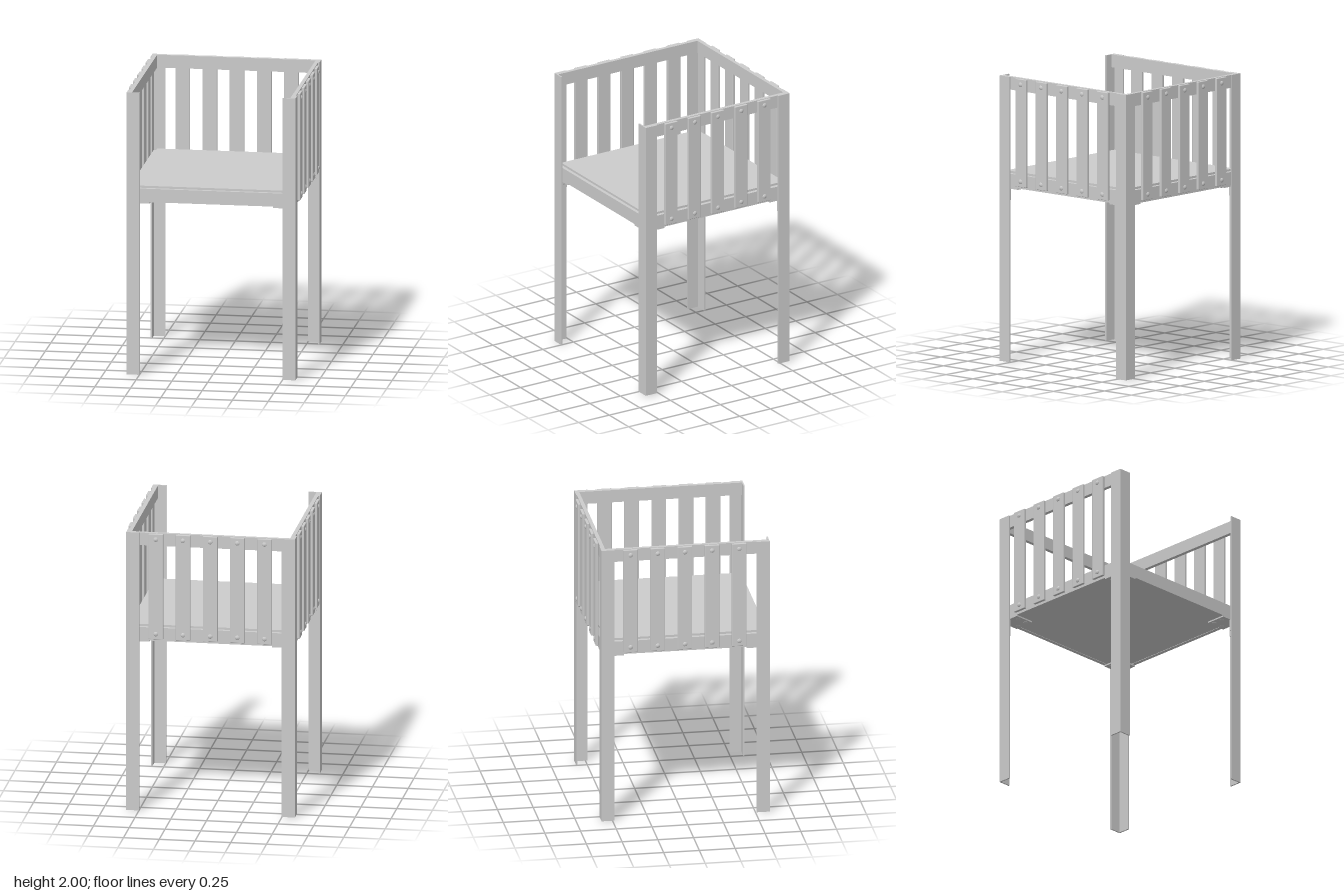
import * as THREE from 'three';
import { RoundedBoxGeometry } from 'three/addons/geometries/RoundedBoxGeometry.js';

const material = new THREE.MeshStandardMaterial({ color: 0xcccccc });

const HEIGHT = 2;
const SIDE = 0.59, FRONT = 0.6, BACK = -0.577; // outer faces of the posts
const FLANGE = 0.092, THICK = 0.01;
const UNDERSIDE = 1.225;

function add(parent, name, geometry, x = 0, y = 0, z = 0) {
  const mesh = new THREE.Mesh(geometry, material);
  mesh.name = name;
  mesh.position.set(x, y, z);
  parent.add(mesh);
  return mesh;
}

// Box given by its minimum and maximum on each axis
function addBox(parent, name, [x0, x1], [y0, y1], [z0, z1]) {
  const geometry = new THREE.BoxGeometry(x1 - x0, y1 - y0, z1 - z0);
  return add(parent, name, geometry, (x0 + x1) / 2, (y0 + y1) / 2, (z0 + z1) / 2);
}

// Low domed bolt head, axis along +y
const boltGeometry = new THREE.LatheGeometry([
  new THREE.Vector2(0.016, 0),
  new THREE.Vector2(0.016, 0.002),
  new THREE.Vector2(0.011, 0.006),
  new THREE.Vector2(0, 0.008),
], 16);

// L-section corner post; sx and sz point outward from the centre
function addPost(parent, sx, sz) {
  const shape = new THREE.Shape([
    [0, 0], [FLANGE, 0], [FLANGE, THICK], [THICK, THICK], [THICK, FLANGE], [0, FLANGE],
  ].map(([x, y]) => new THREE.Vector2(x, y)));
  const geometry = new THREE.ExtrudeGeometry(shape, { depth: HEIGHT, bevelEnabled: false });
  geometry.rotateX(-Math.PI / 2); // L now opens toward +x and -z: a front post at -x
  const post = add(parent, 'cornerPost', geometry, sx * SIDE, 0, sz > 0 ? FRONT : BACK);
  post.rotation.y = sz > 0 ? (sx < 0 ? 0 : Math.PI / 2) : (sx < 0 ? -Math.PI / 2 : Math.PI);
}

// Mounting bracket tucked inside a post under the platform
function addBracket(parent, sx, sz) {
  const bracket = new THREE.Group();
  bracket.name = 'cornerBracket';
  bracket.position.set(sx * (SIDE - THICK), UNDERSIDE, sz > 0 ? FRONT - THICK : BACK + THICK);
  parent.add(bracket);
  const place = (name, w, h, d, x, y, z) =>
    add(bracket, name, new THREE.BoxGeometry(w, h, d), -sx * x, y, -sz * z);
  place('bracketPlate', 0.15, 0.01, 0.15, 0.075, -0.005, 0.075);
  place('bracketTab', 0.01, 0.08, 0.08, 0.005, -0.05, 0.04);
  place('bracketTab', 0.08, 0.08, 0.01, 0.04, -0.05, 0.005);
  for (const [x, z] of [[0.12, 0.12], [0.12, 0.045], [0.045, 0.12]]) {
    add(bracket, 'bracketBolt', boltGeometry, -sx * x, -0.01, -sz * z).rotation.x = Math.PI;
  }
  add(bracket, 'bracketBolt', boltGeometry, -sx * 0.01, -0.055, -sz * 0.045).rotation.z = sx * Math.PI / 2;
  add(bracket, 'bracketBolt', boltGeometry, -sx * 0.045, -0.055, -sz * 0.01).rotation.x = -sz * Math.PI / 2;
}

// Five bolted slats in a row along x, facing local +z
function makeSlatRow(name) {
  const row = new THREE.Group();
  row.name = name;
  const slat = new RoundedBoxGeometry(0.102, 0.757, 0.02, 2, 0.004);
  for (let i = -2; i <= 2; i++) {
    add(row, 'slat', slat, i * 0.19, 1.6195, 0.01);
    for (const y of [1.28, 1.96]) {
      add(row, 'slatBolt', boltGeometry, i * 0.19, y, 0.02).rotation.x = Math.PI / 2;
    }
  }
  return row;
}

export function createModel() {
  const model = new THREE.Group();
  model.name = 'slattedPlatform';

  // Posts and brackets at the corners
  for (const sx of [-1, 1]) {
    for (const sz of [-1, 1]) {
      addPost(model, sx, sz);
      addBracket(model, sx, sz);
    }
  }

  // Platform: deck inside a frame of four aprons
  const apron = [UNDERSIDE, 1.32], topRail = [1.91, HEIGHT];
  const inX = 0.553, outX = SIDE - THICK;
  const frontZ = [0.566, FRONT - THICK], backZ = [BACK + 0.004, -0.547];
  addBox(model, 'deck', [-inX, inX], [UNDERSIDE + 0.003, 1.335], [backZ[1], frontZ[0]]);
  addBox(model, 'frontApron', [-outX, outX], apron, frontZ);
  addBox(model, 'backApron', [-outX, outX], apron, backZ);
  addBox(model, 'backTopRail', [-outX, outX], topRail, backZ);
  for (const [a, b] of [[-outX, -inX], [inX, outX]]) {
    addBox(model, 'sideApron', [a, b], apron, [backZ[1], frontZ[0]]);
    addBox(model, 'sideTopRail', [a, b], topRail, [backZ[1], frontZ[1]]);
  }

  // Slat rows on the back and both sides
  const back = makeSlatRow('backSlats');
  back.rotation.y = Math.PI;
  back.position.z = backZ[0];
  const left = makeSlatRow('leftSlats');
  left.rotation.y = Math.PI / 2;
  left.position.set(outX, 0, 0.015);
  const right = makeSlatRow('rightSlats');
  right.rotation.y = -Math.PI / 2;
  right.position.set(-outX, 0, 0.005);
  model.add(back, left, right);

  return model;
}
